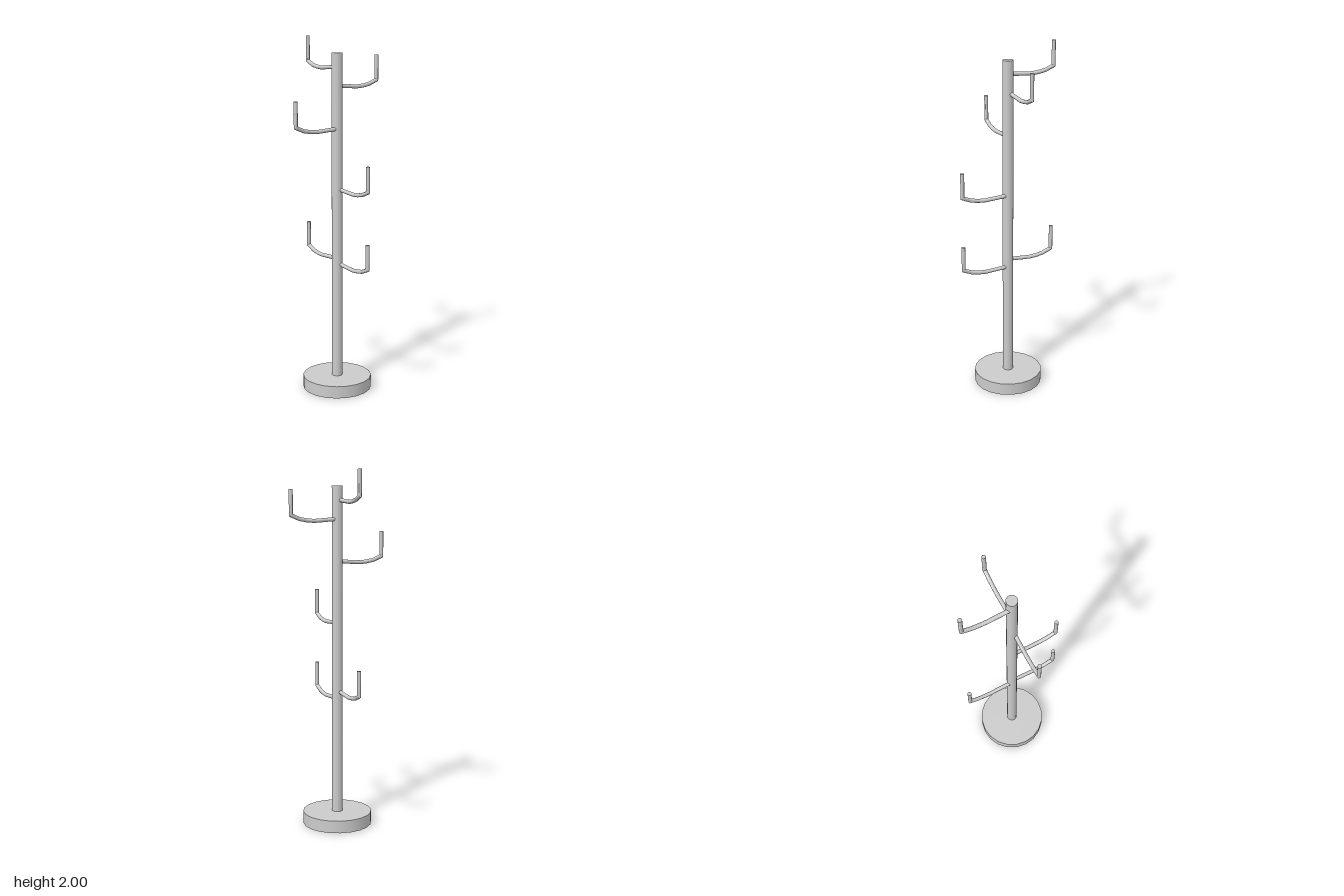
import * as THREE from 'three';
import { toCreasedNormals } from 'three/addons/utils/BufferGeometryUtils.js';

const material = new THREE.MeshStandardMaterial({ color: 0xcccccc });

// Side profile of one hook: distance from the pole axis, height above its root
const HOOK_PATH = [
  [0.01, 0.002], [0.08, -0.003], [0.14, -0.007], [0.18, -0.004],
  [0.225, 0.004], [0.275, 0.025], [0.275, 0.164],
].map(([x, y]) => new THREE.Vector2(x, y));

// Round capped bar with mitred joints: cylinder rings moved onto the path points
function barGeometry(path, radius) {
  const last = path.length - 1;
  const geometry = new THREE.CylinderGeometry(radius, radius, 1, 14, last);
  const rings = path.map((p, i) => {
    const before = p.clone().sub(path[Math.max(i - 1, 0)]).normalize();
    const after = path[Math.min(i + 1, last)].clone().sub(p).normalize();
    const tangent = before.clone().add(after).normalize();
    const stretch = 1 / tangent.dot(i < last ? after : before);
    return { p, nx: tangent.y * stretch, ny: -tangent.x * stretch };
  });
  const pos = geometry.attributes.position;
  for (let i = 0; i < pos.count; i++) {
    const { p, nx, ny } = rings[Math.round((pos.getY(i) + 0.5) * last)];
    const side = pos.getX(i);
    pos.setXYZ(i, p.x + nx * side, p.y + ny * side, pos.getZ(i));
  }
  return toCreasedNormals(geometry, 0.7);
}

export function createModel() {
  const model = new THREE.Group();
  model.name = 'coatStand';

  function addCylinder(name, radius, bottom, top, sides) {
    const mesh = new THREE.Mesh(
      new THREE.CylinderGeometry(radius, radius, top - bottom, sides), material);
    mesh.name = name;
    mesh.position.y = (bottom + top) / 2;
    model.add(mesh);
  }

  // Foot and upright
  addCylinder('base', 0.196, 0, 0.07, 20);
  addCylinder('pole', 0.03, 0.07, 1.915, 20);

  // Hooks, each set slightly off the pole axis: [name, root height, quarter turns from +x]
  const hookGeometry = barGeometry(HOOK_PATH, 0.011);
  hookGeometry.translate(0, 0, -0.01);
  const hooks = [
    ['topBackHook', 1.836, 1], ['leftHook', 1.733, 0], ['rightHook', 1.5, 2],
    ['upperFrontHook', 1.159, 3], ['lowerBackHook', 0.766, 1], ['lowerFrontHook', 0.73, 3],
  ];
  for (const [name, height, turns] of hooks) {
    const hook = new THREE.Mesh(hookGeometry, material);
    hook.name = name;
    hook.position.y = height;
    hook.rotation.y = turns * Math.PI / 2;
    model.add(hook);
  }
  return model;
}
